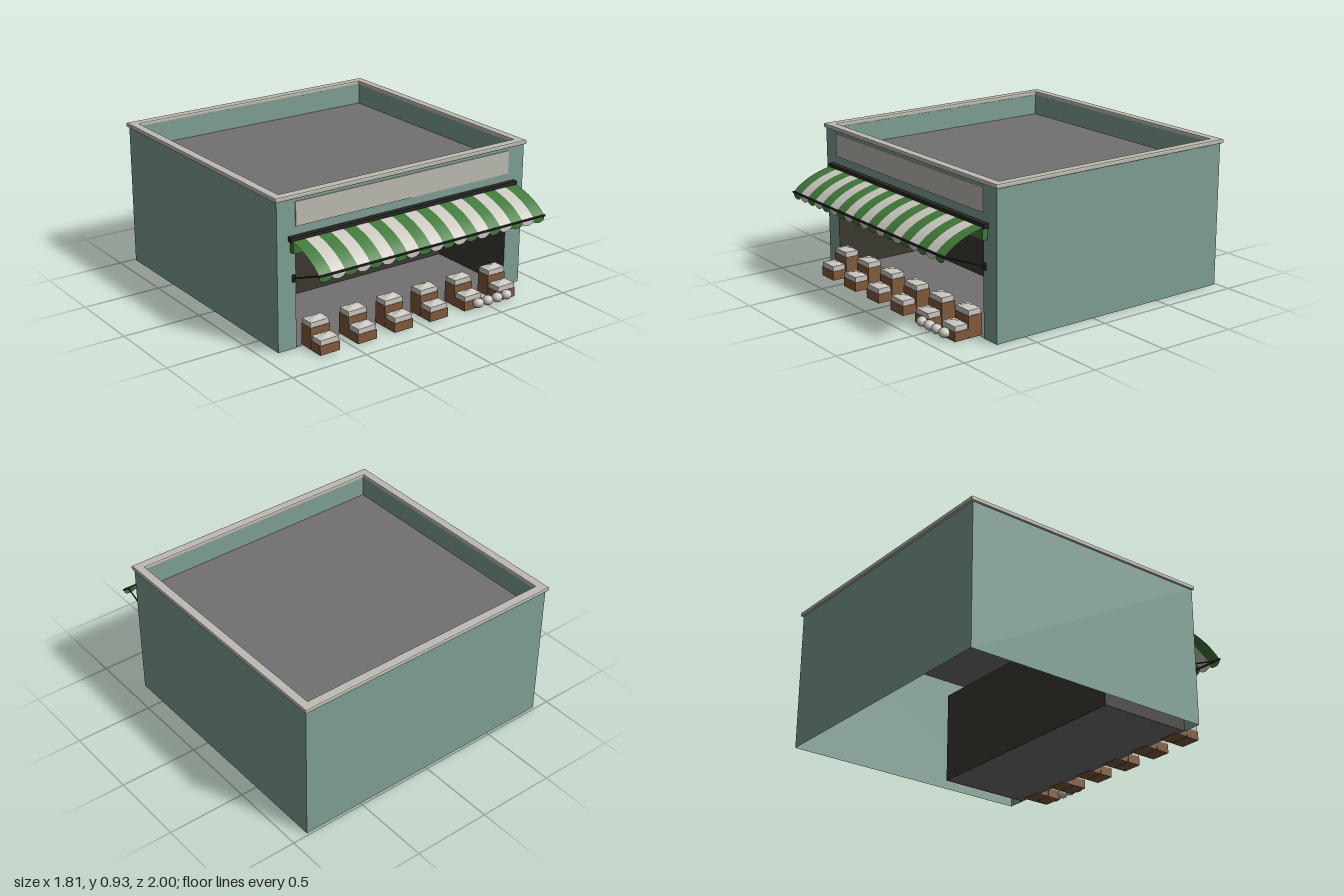
import * as THREE from 'three';

const mat = (name, color, side = THREE.FrontSide) =>
  Object.assign(new THREE.MeshStandardMaterial({ color, side }), { name });

export function createModel() {
  const D = THREE.DoubleSide;
  const teal = mat('tealWall', 0x7d9f94, D);
  const stone = mat('paleStone', 0xbdbbb2);
  const grey = mat('roofGrey', 0x727070, D);
  const dark = mat('darkInterior', 0x3a3830, D);
  const metal = mat('blackMetal', 0x262622);
  const green = mat('awningGreen', 0x417a3a, D);
  const cream = mat('cream', 0xcbc8c1, D);
  const brown = mat('crateWood', 0x815b3c);

  const root = new THREE.Group();
  root.name = 'shop';
  const add = (name, geo, material, x = 0, y = 0, z = 0, parent = root) => {
    const m = new THREE.Mesh(geo, material);
    m.name = name;
    m.position.set(x, y, z);
    parent.add(m);
    return m;
  };
  const box = (w, h, d) => new THREE.BoxGeometry(w, h, d);
  const plane = (w, h) => new THREE.PlaneGeometry(w, h);
  const flat = (w, d) => plane(w, d).rotateX(-Math.PI / 2);

  // Main dimensions
  const W = 0.895, ZF = 0.7, ZB = -0.985, H = 0.91, ROOF = 0.77;
  const ZC = (ZF + ZB) / 2, DEPTH = ZF - ZB;
  const OW = 0.772, OH = 0.6, BACK = 0.07;

  // Front wall with the shop opening
  const front = new THREE.Shape([
    [-W, 0], [-OW, 0], [-OW, OH], [OW, OH], [OW, 0], [W, 0], [W, H], [-W, H],
  ].map(([x, y]) => new THREE.Vector2(x, y)));
  add('frontWall', new THREE.ShapeGeometry(front), teal, 0, 0, ZF);
  add('backWall', plane(2 * W, H).rotateY(Math.PI), teal, 0, H / 2, ZB);
  for (const s of [-1, 1]) {
    add('sideWall', plane(DEPTH, H).rotateY(s * Math.PI / 2), teal, s * W, H / 2, ZC);
  }

  // Roof and inner faces of the parapet
  add('roof', flat(2 * W, DEPTH), grey, 0, ROOF, ZC);
  const T = 0.04, ph = H - ROOF;
  for (const s of [-1, 1]) {
    add('parapetSide', plane(DEPTH - 2 * T, ph).rotateY(-s * Math.PI / 2), teal, s * (W - T), ROOF + ph / 2, ZC);
    add('parapetEnd', plane(2 * (W - T), ph).rotateY(s > 0 ? Math.PI : 0), teal,
      0, ROOF + ph / 2, ZC + s * (DEPTH / 2 - T));
  }

  // Bevelled coping around the parapet
  const rect = (Cls, a, b) => new Cls([
    [-a, -b], [a, -b], [a, b], [-a, b],
  ].map(([x, y]) => new THREE.Vector2(x, y)));
  const B = 0.008;
  const ring = rect(THREE.Shape, 0.907 - B, 0.855 - B);
  ring.holes.push(rect(THREE.Path, 0.85 + B, 0.797 + B));
  const coping = new THREE.ExtrudeGeometry(ring, {
    depth: 0.013, bevelThickness: B, bevelSize: B, bevelSegments: 2,
  }).rotateX(-Math.PI / 2);
  add('coping', coping, stone, 0, 0.909, -0.145);

  // Blank sign panel
  add('signPanel', box(2 * OW, 0.145, 0.006), stone, 0, 0.812, ZF + 0.003);

  // Shop interior
  const iz = (ZF + BACK) / 2, id = ZF - BACK;
  add('shopFloor', flat(2 * OW, id), grey, 0, 0.003, iz);
  add('shopCeiling', flat(2 * OW, id), dark, 0, OH, iz);
  add('shopBackWall', plane(2 * OW, OH), dark, 0, OH / 2, BACK);
  for (const s of [-1, 1]) {
    add('shopSideWall', plane(id, OH).rotateY(-s * Math.PI / 2), dark, s * OW, OH / 2, iz);
  }

  // Awning: bowed striped cloth with a scalloped valance
  const awning = new THREE.Group();
  awning.name = 'awning';
  root.add(awning);
  const N = 19, AW = 1.63, sw = AW / N;
  const curve = new THREE.QuadraticBezierCurve3(
    new THREE.Vector3(0, 0.67, 0.725), new THREE.Vector3(0, 0.64, 0.9), new THREE.Vector3(0, 0.548, 0.994));
  const cloth = new THREE.PlaneGeometry(sw, 1, 1, 8);
  const cp = cloth.attributes.position;
  for (let i = 0; i < cp.count; i++) {
    const p = curve.getPoint(0.5 - cp.getY(i));
    cp.setXYZ(i, cp.getX(i), p.y, p.z);
  }
  cloth.computeVertexNormals();
  const scallop = new THREE.Shape();
  scallop.moveTo(-sw / 2, 0);
  scallop.lineTo(-sw / 2, -0.02);
  scallop.quadraticCurveTo(-sw / 3, -0.039, 0, -0.039);
  scallop.quadraticCurveTo(sw / 3, -0.039, sw / 2, -0.02);
  scallop.lineTo(sw / 2, 0);
  const flap = new THREE.ShapeGeometry(scallop, 5);
  for (let i = 0; i < N; i++) {
    const x = (i + 0.5) * sw - AW / 2, m = i % 2 ? cream : green;
    add('awningStripe', cloth, m, x, 0, 0, awning);
    add('valanceScallop', flap, m, x, 0.548, 0.994, awning);
  }
  add('awningRoller', box(1.645, 0.028, 0.034), metal, 0, 0.675, 0.717, awning);
  add('awningBackRail', box(1.62, 0.066, 0.034), green, 0, 0.626, 0.718, awning);
  add('awningFrontBar', box(1.64, 0.01, 0.01), metal, 0, 0.548, 0.995, awning);

  // Awning brackets and arms
  for (const s of [-1, 1]) {
    add('armBracket', box(0.02, 0.042, 0.014), metal, s * 0.788, 0.433, 0.706, awning);
    const arm = new THREE.LineCurve3(
      new THREE.Vector3(s * 0.784, 0.432, 0.706), new THREE.Vector3(s * 0.784, 0.548, 0.993));
    add('awningArm', new THREE.TubeGeometry(arm, 1, 0.005, 6), metal, 0, 0, 0, awning);
  }

  // Hanging plants under the awning
  for (let i = 0; i < 4; i++) {
    add('hangingPlant', new THREE.SphereGeometry(1, 8, 6), green, -0.645 + i * 0.43, 0.52, 0.89)
      .scale.set(0.026, 0.053, 0.026);
  }

  // Heaped goods: block with a raised centre on top
  const heap = (w, h, d, rise) => {
    const g = new THREE.BoxGeometry(w, h, d, 2, 1, 2).toNonIndexed();
    const p = g.attributes.position;
    for (let i = 0; i < p.count; i++) {
      if (p.getY(i) > 0 && Math.abs(p.getX(i)) < 1e-4 && Math.abs(p.getZ(i)) < 1e-4) p.setY(i, h / 2 + rise);
    }
    g.computeVertexNormals();
    return g;
  };

  // Stepped pairs of produce crates
  for (let i = 0; i < 6; i++) {
    const stand = new THREE.Group();
    stand.name = 'produceStand';
    stand.position.x = -0.655 + i * 0.262;
    root.add(stand);
    for (const [z, h] of [[0.722, 0.132], [0.818, 0.058]]) {
      add('crate', box(0.134, h, 0.093), brown, 0, h / 2, z, stand);
      add('produceHeap', heap(0.126, 0.032, 0.086, 0.015), cream, 0, h + 0.016, z, stand);
    }
  }

  // Round goods on the ground
  for (let i = 0; i < 4; i++) {
    add('roundProduce', new THREE.SphereGeometry(1, 12, 8), cream, 0.42 + i * 0.074, 0.037, 0.88)
      .scale.set(0.036, 0.03, 0.033);
  }
  return root;
}
